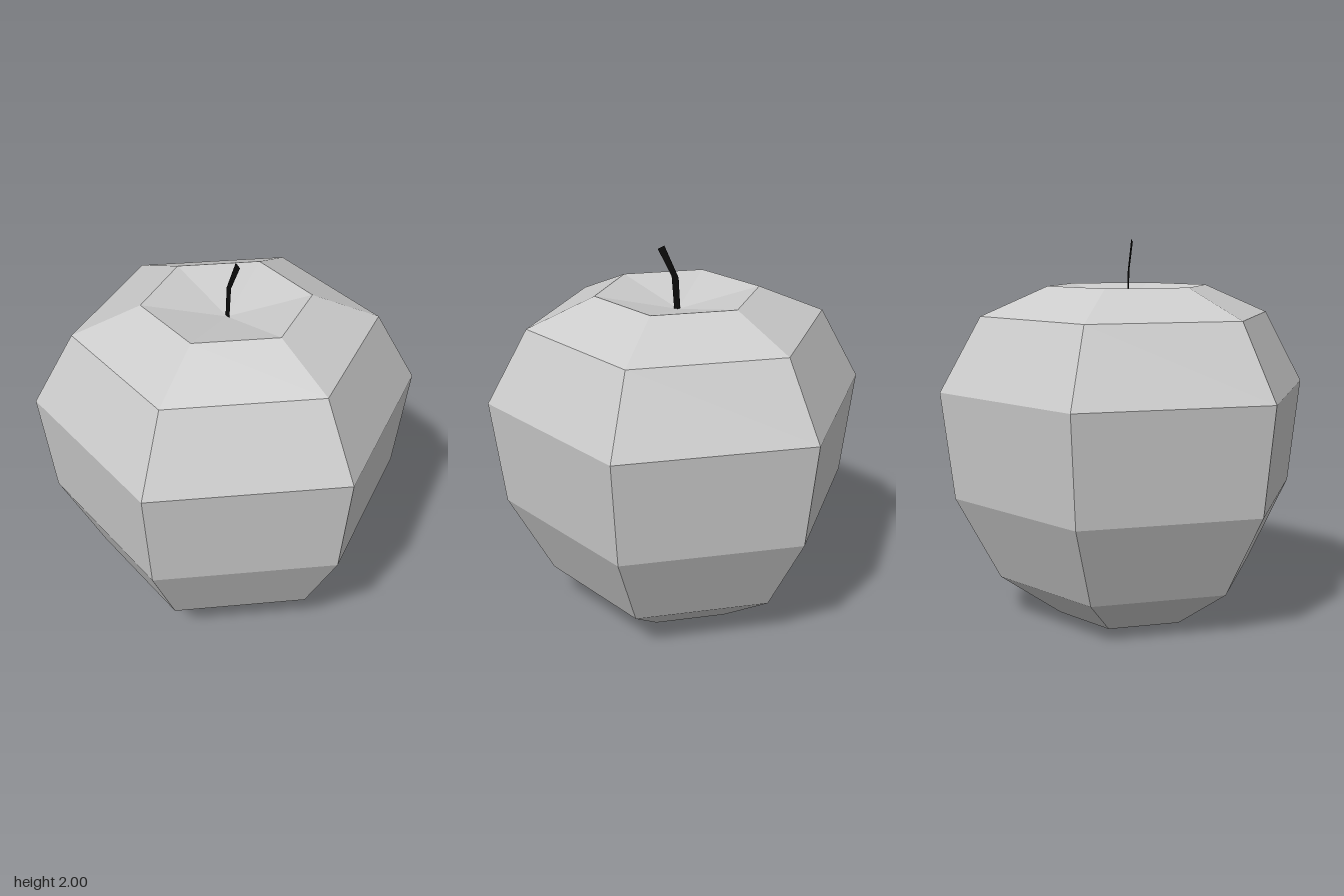
import * as THREE from 'three';

export function createModel() {
  const group = new THREE.Group();

  // Six-sided body: one profile from the bottom dimple to the top hollow
  const profile = [
    [0, 0.12], [0.38, 0], [0.7, 0.225], [0.93, 0.665],
    [0.995, 1.225], [0.78, 1.61], [0.43, 1.76], [0, 1.665],
  ].map(([r, y]) => new THREE.Vector2(r, y));
  const body = new THREE.Mesh(
    new THREE.LatheGeometry(profile, 6),
    new THREE.MeshStandardMaterial({ color: 0xcccccc, flatShading: true })
  );
  body.name = 'fruitBody';
  group.add(body);

  // Flat bent stem, drawn as (z, y) and turned to stand in the x = 0 plane
  const outline = [
    [-0.012, 1.665], [-0.003, 1.83], [0.07, 2], [0.104, 1.985], [0.033, 1.84], [0.02, 1.665],
  ].map(([z, y]) => new THREE.Vector2(z, y));
  const stem = new THREE.Mesh(
    new THREE.ShapeGeometry(new THREE.Shape(outline)).rotateY(-Math.PI / 2),
    new THREE.MeshStandardMaterial({ color: 0x0a0a0a, side: THREE.DoubleSide })
  );
  stem.name = 'stem';
  group.add(stem);

  return group;
}
